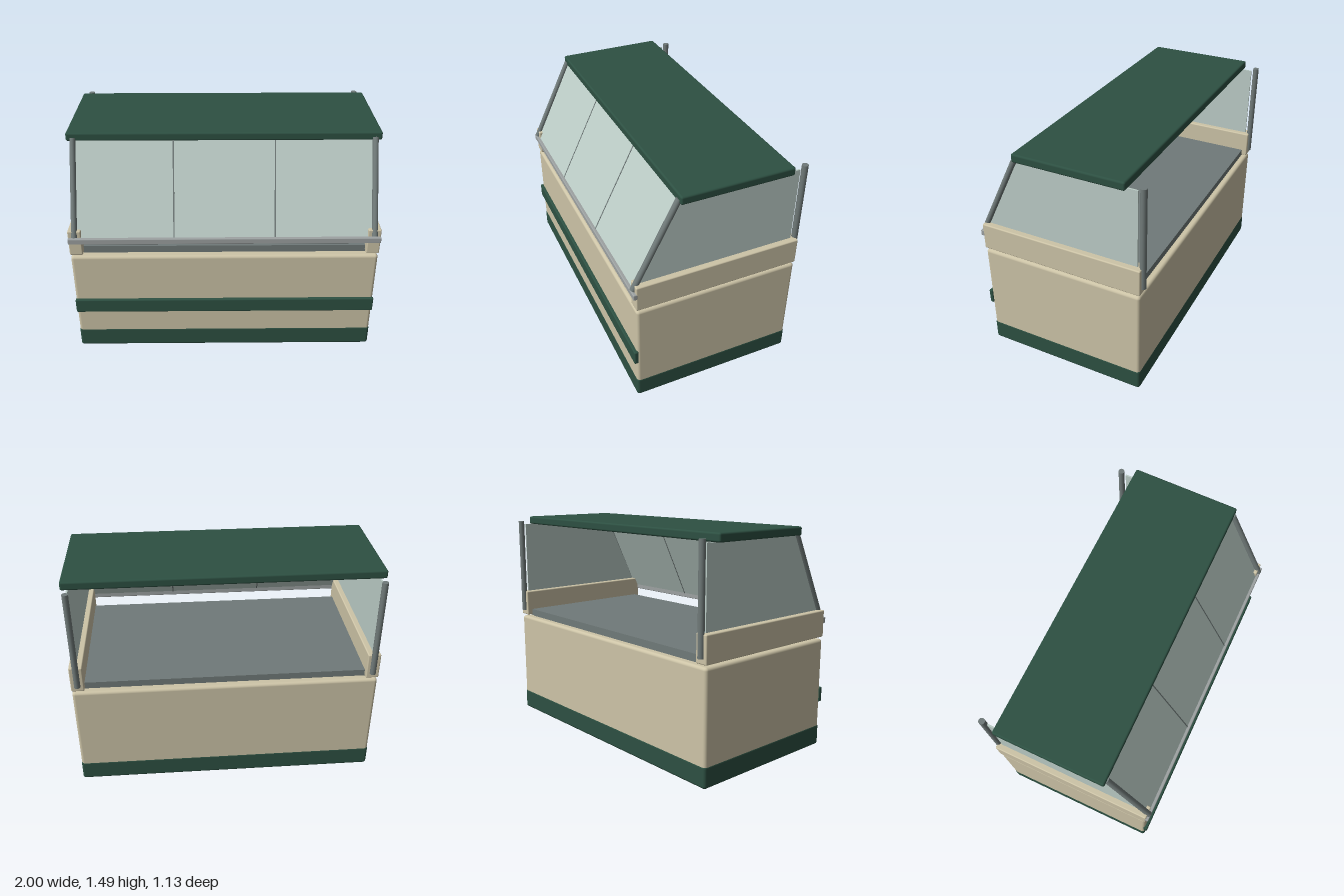
import * as THREE from 'three';
import { RoundedBoxGeometry } from 'three/addons/geometries/RoundedBoxGeometry.js';

const material = (name, color) => {
  const m = new THREE.MeshStandardMaterial({ color });
  m.name = name;
  return m;
};

export function createModel() {
  const cream = material('cream panel', 0xcdc4a7);
  const green = material('dark green', 0x2d5042);
  const glass = material('pale glass', 0xbccdc7);
  const steel = material('grey steel', 0x707a79);
  const lightSteel = material('light steel', 0x9da2a2);

  const model = new THREE.Group();
  model.name = 'displayCounter';

  const add = (name, geometry, mat) => {
    const mesh = new THREE.Mesh(geometry, mat);
    mesh.name = name;
    model.add(mesh);
    return mesh;
  };

  // Box given by its limits on each axis, with optional rounded edges
  const block = (name, mat, [x0, x1], [y0, y1], [z0, z1], r = 0) => {
    const size = [x1 - x0, y1 - y0, z1 - z0];
    const geometry = r ? new RoundedBoxGeometry(...size, 3, r) : new THREE.BoxGeometry(...size);
    const mesh = add(name, geometry, mat);
    mesh.position.set((x0 + x1) / 2, (y0 + y1) / 2, (z0 + z1) / 2);
    return mesh;
  };

  // Round bar between two points
  const bar = (name, mat, from, to, radius) => {
    const a = new THREE.Vector3(...from), b = new THREE.Vector3(...to);
    const dir = b.clone().sub(a);
    const mesh = add(name, new THREE.CylinderGeometry(radius, radius, dir.length(), 16), mat);
    mesh.position.copy(a).add(b).multiplyScalar(0.5);
    mesh.quaternion.setFromUnitVectors(new THREE.Vector3(0, 1, 0), dir.normalize());
    return mesh;
  };

  // Cabinet with plinth and bumper strip
  block('cabinetBody', cream, [-0.998, 0.998], [0.05, 0.735], [-0.541, 0.543], 0.02);
  block('plinth', green, [-1, 1], [0, 0.145], [-0.543, 0.545], 0.018);
  block('bumperStrip', green, [-1, 1], [0.3, 0.4], [0.535, 0.563], 0.008);

  // Display deck
  block('deck', steel, [-0.93, 0.93], [0.745, 0.79], [-0.505, 0.5]);
  block('deckSupport', steel, [-0.92, 0.92], [0.73, 0.75], [-0.49, 0.49]);

  // Roof and the rail under the front glass
  block('roof', green, [-1, 1], [1.43, 1.485], [-0.45, 0.275], 0.012);
  block('frontRail', lightSteel, [-1, 1], [0.84, 0.88], [0.535, 0.563], 0.006);

  // Sloping front glass with two joints
  const bottom = new THREE.Vector2(0.542, 0.87), top = new THREE.Vector2(0.262, 1.44);
  const rise = top.clone().sub(bottom);
  const slope = (name, mat, x, width, thickness) => {
    const mesh = add(name, new THREE.BoxGeometry(width, rise.length(), thickness), mat);
    mesh.position.set(x, (bottom.y + top.y) / 2, (bottom.x + top.x) / 2);
    mesh.rotation.x = Math.atan2(rise.x, rise.y);
  };
  slope('frontGlass', glass, 0, 1.9, 0.01);
  for (const x of [-0.323, 0.323]) slope('glassJoint', steel, x, 0.008, 0.014);

  // Outline of the side glass
  const outline = new THREE.Shape([
    [-0.53, 0.92], [0.51, 0.92], [0.51, 1.432], [-0.255, 1.432],
  ].map(([x, y]) => new THREE.Vector2(x, y)));

  for (const s of [-1, 1]) {
    const side = s > 0 ? 'left' : 'right';
    block(side + 'SideRail', cream, s > 0 ? [0.915, 1] : [-1, -0.915], [0.75, 0.928], [-0.543, 0.545], 0.008);

    const pane = add(side + 'SideGlass',
      new THREE.ExtrudeGeometry(outline, { depth: 0.01, bevelEnabled: false }), glass);
    pane.rotation.y = Math.PI / 2;
    pane.position.x = s * 0.957 - 0.005;

    bar(side + 'FrontPost', steel, [s * 0.957, 0.885, 0.55], [s * 0.957, 1.45, 0.268], 0.019);
    bar(side + 'BackPost', steel, [s * 0.957, 0.785, -0.543], [s * 0.957, 1.455, -0.543], 0.02);
  }

  return model;
}
